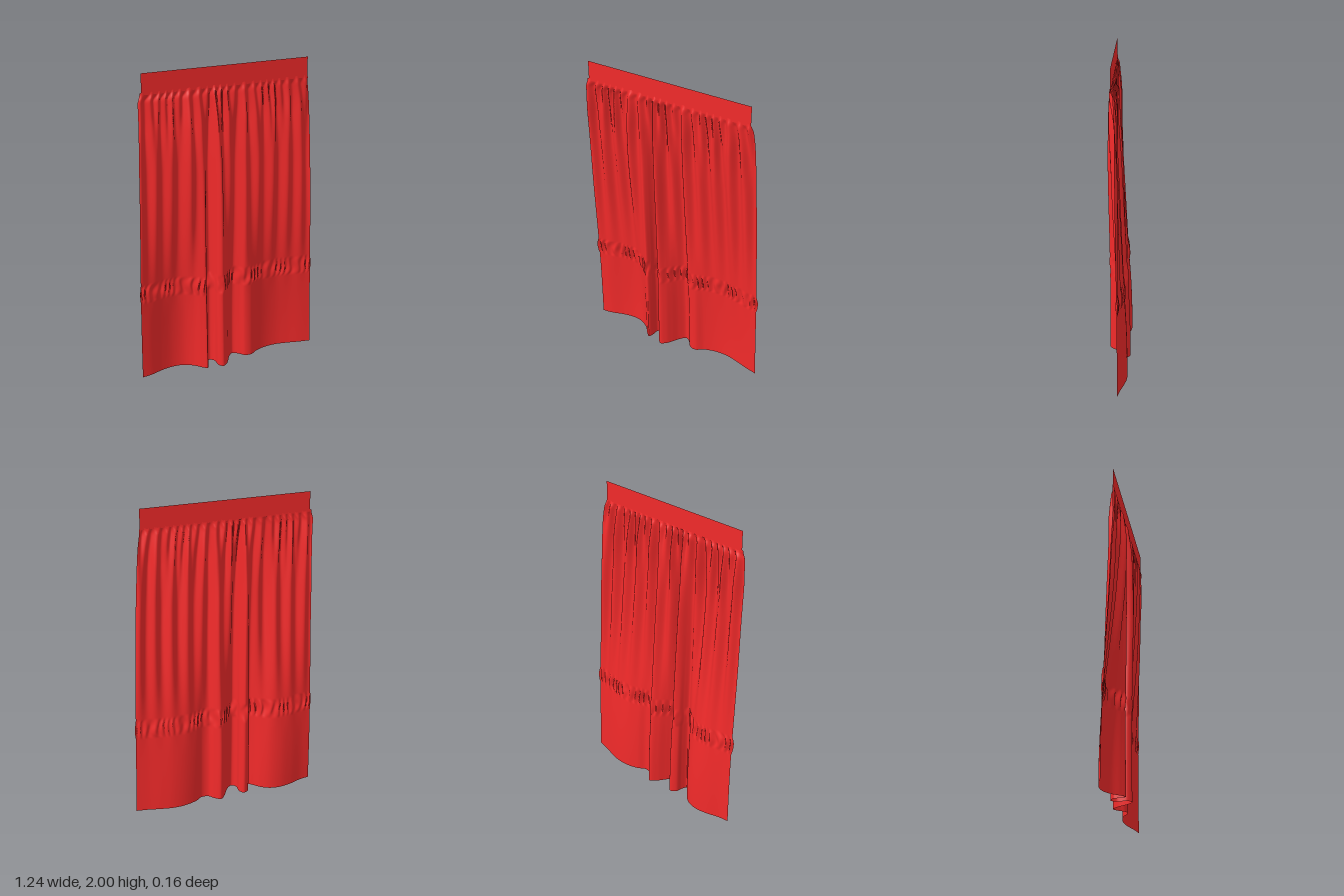
import * as THREE from 'three';

// Main drape folds across the cloth: [x at the hem, z at the hem, z at mid height, x at mid height if different]
const FOLDS = [
  [-0.615, -0.03, 0.008], [-0.55, -0.04, 0.018], [-0.46, -0.068, 0.02], [-0.38, -0.08, 0.022],
  [-0.31, -0.068, 0.036], [-0.255, -0.032, 0.058, -0.265], [-0.215, 0.015, 0.05, -0.225],
  [-0.185, 0.04, 0.034, -0.192], [-0.17, 0.005, 0.016, -0.17], [-0.163, -0.037, 0.006, -0.15],
  [-0.125, -0.06, 0.008, -0.128], [-0.102, -0.03, 0.034, -0.108], [-0.104, 0.035, 0.056, -0.09],
  [-0.08, 0.06, 0.057, -0.068], [-0.045, 0.038, 0.038], [-0.02, 0.004, 0.024],
  [0.012, -0.045, 0.01], [0.05, -0.078, 0.006], [0.088, -0.048, 0.016], [0.115, -0.014, 0.026],
  [0.16, -0.007, 0.026], [0.21, -0.038, 0.02], [0.29, -0.062, 0.02], [0.37, -0.065, 0.022],
  [0.45, -0.05, 0.024], [0.54, -0.025, 0.014], [0.615, -0.01, 0.008],
];
const TOP = 1.88, RAIL_Z = 0.03;
const { lerp, smoothstep, clamp } = THREE.MathUtils;

const curveOf = (toPoint) => new THREE.CatmullRomCurve3(FOLDS.map(toPoint));

// Outline of the right-hand edge of the front, from hem to heading
const edge = new THREE.SplineCurve([
  [0.618, 0], [0.6, 0.6], [0.585, 1.05], [0.568, 1.4], [0.547, 1.72], [0.524, TOP],
].map(([x, y]) => new THREE.Vector2(x, y)));

function edgeX(y) {
  let a = 0, b = 1;
  for (let i = 0; i < 18; i++) {
    const m = (a + b) / 2;
    if (edge.getPoint(m).y < y) a = m; else b = m;
  }
  return edge.getPoint(a).x;
}

// Hanging cloth: a grid bent into folds, gathered at the top and in a ruffled strip
function clothGeometry() {
  const NU = 320, NV = 180;
  const geo = new THREE.PlaneGeometry(1, 1, NU, NV);
  const pos = geo.attributes.position;
  const hemCurve = curveOf(([x, z]) => new THREE.Vector3(x, 0, z));
  const midCurve = curveOf(([x, , z, midX = x]) => new THREE.Vector3(midX, 0, z));
  const hem = [], mid = [];
  for (let i = 0; i <= NU; i++) {
    hem.push(hemCurve.getPoint(i / NU));
    mid.push(midCurve.getPoint(i / NU));
  }
  for (let j = 0; j <= NV; j++) {
    const y = TOP * (1 - j / NV);
    const right = edgeX(y);
    const left = lerp(-0.614, -0.6, smoothstep(y, 1.82, TOP));
    const open = Math.pow(Math.sin(clamp((TOP - y) / 0.6, 0, 1) * Math.PI / 2), 0.85);
    const fall = 1 - smoothstep(y, 0.05, 1.7);
    // broad pleats fade at the ruffle, fine gathers fade below the heading
    const pleat = smoothstep(TOP - y, 0, 0.25) * smoothstep(y, 0.35, 1.35);
    const gather = smoothstep(TOP - y, 0, 0.04) * smoothstep(y, 1.35, 1.85);
    const s = clamp((y - 0.525) / 0.12, 0, 1);
    const puff = Math.pow(Math.sin(s * Math.PI), 0.7);
    for (let i = 0; i <= NU; i++) {
      const h = hem[i], m = mid[i];
      const x = lerp(m.x, h.x, fall);
      const fine = Math.sin(x * 112 + 1.6 * Math.sin(x * 17 + 1));
      let z = lerp(RAIL_Z, lerp(m.z, h.z, fall), open);
      z += pleat * 0.018 * Math.cos((x - 0.43) * Math.PI * 2 / 0.103 + 0.4 * Math.sin(x * 9));
      z += gather * 0.012 * fine;
      // crinkled ruffle
      z += puff * 0.009 * Math.sin(x * 150 + 2 * Math.sin(x * 31) + 0.6 * Math.sin(y * 45 + x * 23));
      const t = (x + 0.615) / 1.23;
      const px = lerp(left, right, t) + puff * 0.008 * (2 * t - 1);
      const scallop = smoothstep(y, 1.8, TOP) * 0.006 * fine;
      pos.setXYZ(j * (NU + 1) + i, px, y + scallop + puff * 0.004 * Math.sin(x * 90), z);
    }
  }
  geo.computeVertexNormals();
  return geo;
}

export function createModel() {
  const model = new THREE.Group();
  model.name = 'curtain';
  const fabric = new THREE.MeshStandardMaterial({ color: 0xf22a2a, side: THREE.DoubleSide });

  const cloth = new THREE.Mesh(clothGeometry(), fabric);
  cloth.name = 'gatheredCloth';
  model.add(cloth);

  // Flat heading band above the gathers
  const heading = new THREE.Mesh(new THREE.PlaneGeometry(1.11, 0.13), fabric);
  heading.name = 'headingBand';
  heading.position.set(-0.035, 1.935, RAIL_Z);
  model.add(heading);

  return model;
}
